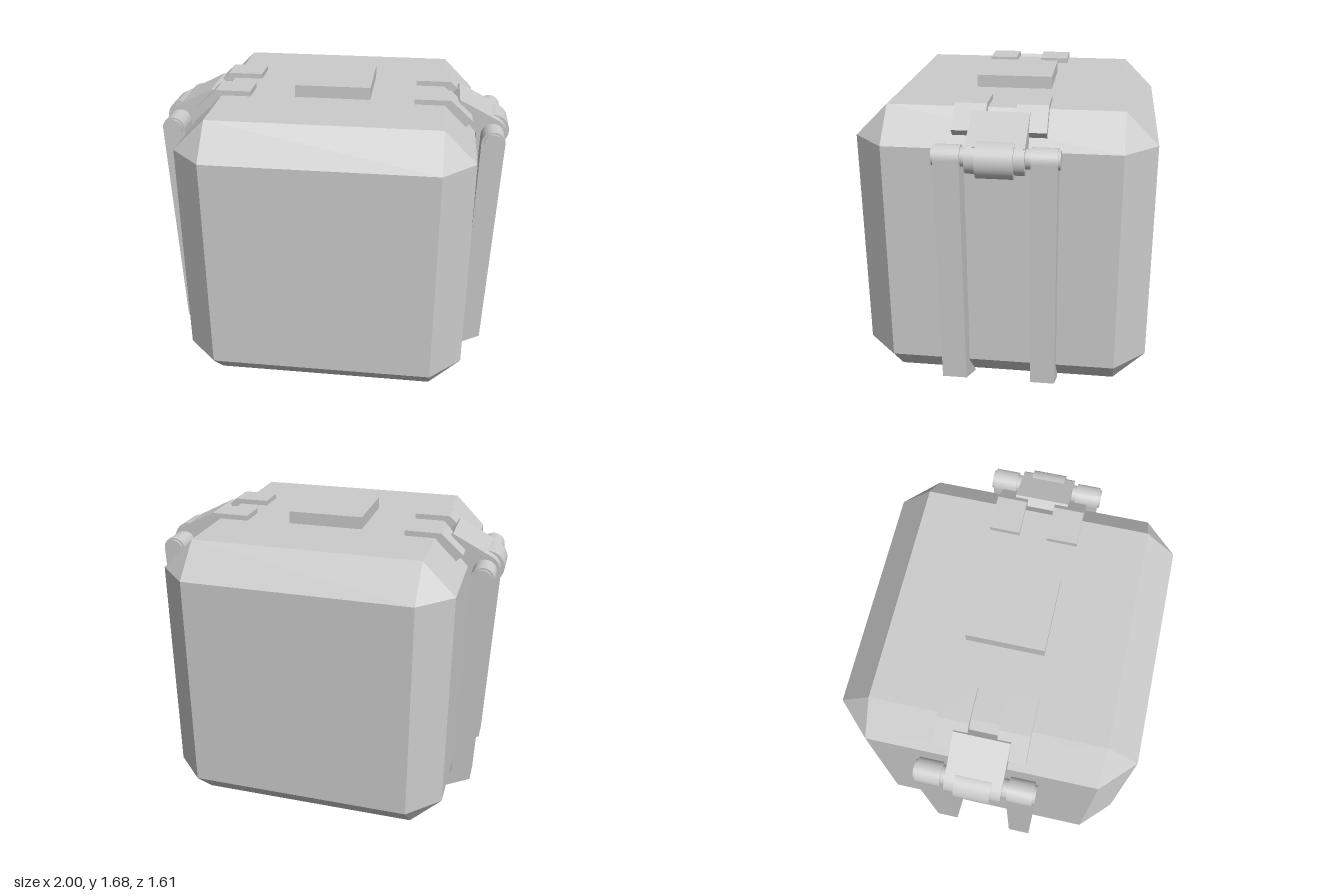
import * as THREE from 'three';
import { ConvexGeometry } from 'three/addons/geometries/ConvexGeometry.js';

const material = new THREE.MeshStandardMaterial({ color: 0xcccccc });

function add(parent, name, geometry) {
  const mesh = new THREE.Mesh(geometry, material);
  mesh.name = name;
  parent.add(mesh);
  return mesh;
}

// Extrude an x-y outline from z0 to z1
function slab(shape, z0, z1) {
  return new THREE.ExtrudeGeometry(shape, { depth: z1 - z0, bevelEnabled: false, curveSegments: 16 }).translate(0, 0, z0);
}

function outline(points) {
  return new THREE.Shape(points.map(([x, y]) => new THREE.Vector2(x, y)));
}

// Cylinder along z from z0 to z1
function rod(x, y, radius, z0, z1) {
  return new THREE.CylinderGeometry(radius, radius, z1 - z0, 32)
    .rotateX(Math.PI / 2).translate(x, y, (z0 + z1) / 2);
}

// Box with flat chamfers on every edge and triangular corners
function chamferedBox(half, chamfer) {
  const points = [];
  const inner = half - chamfer;
  for (const x of [-1, 1]) for (const y of [-1, 1]) for (const z of [-1, 1]) {
    points.push(
      new THREE.Vector3(x * half, y * inner, z * inner),
      new THREE.Vector3(x * inner, y * half, z * inner),
      new THREE.Vector3(x * inner, y * inner, z * half));
  }
  return new ConvexGeometry(points);
}

// Hinge with two brackets, a flap, a pin and two long arms, built on the +x side
function createClasp() {
  const clasp = new THREE.Group();
  const px = 0.9, py = 1.425, mid = 0.007;

  // Long arm: round head at the pin, hooked foot under the lower chamfer
  const arm = outline([[0.835, py], [0.813, 0.18], [0.655, 0.02], [0.655, 0.003], [0.925, 0.14], [0.965, py]]);
  arm.absarc(px, py, 0.065, 0, Math.PI, false);

  // Bracket folded over the upper chamfer
  const bracket = outline([[0.46, 1.607], [0.625, 1.607], [0.748, 1.492], [0.783, 1.528], [0.66, 1.64], [0.46, 1.64]]);

  // Flap running from the barrel onto the brackets
  const flap = outline([[0.673, 1.577], [0.83, 1.4], [0.94, 1.495], [0.71, 1.613]]);

  for (const [side, a0, a1, b0, b1] of [['front', 0.182, 0.315, 0.085, 0.255], ['back', -0.305, -0.172, -0.235, -0.07]]) {
    add(clasp, side + 'Arm', slab(arm, a0, a1));
    add(clasp, side + 'Bracket', slab(bracket, b0, b1));
  }
  add(clasp, 'flap', slab(flap, mid - 0.15, mid + 0.15));
  add(clasp, 'flapBarrel', rod(px, py, 0.079, mid - 0.15, mid + 0.15));
  add(clasp, 'centreBarrel', rod(0.905, 1.42, 0.094, mid - 0.095, mid + 0.095));
  add(clasp, 'hingePin', rod(px, 1.43, 0.05, -0.317, 0.328));
  return clasp;
}

export function createModel() {
  const model = new THREE.Group();
  model.name = 'claspedCase';

  add(model, 'body', chamferedBox(0.803, 0.177)).position.y = 0.808;
  add(model, 'lidPlate', new THREE.BoxGeometry(0.423, 0.08, 0.423)).position.set(0.002, 1.64, 0);

  // The right clasp is the left one turned half round
  const left = createClasp();
  left.name = 'leftClasp';
  const right = createClasp();
  right.name = 'rightClasp';
  right.rotation.y = Math.PI;
  model.add(left, right);
  return model;
}
